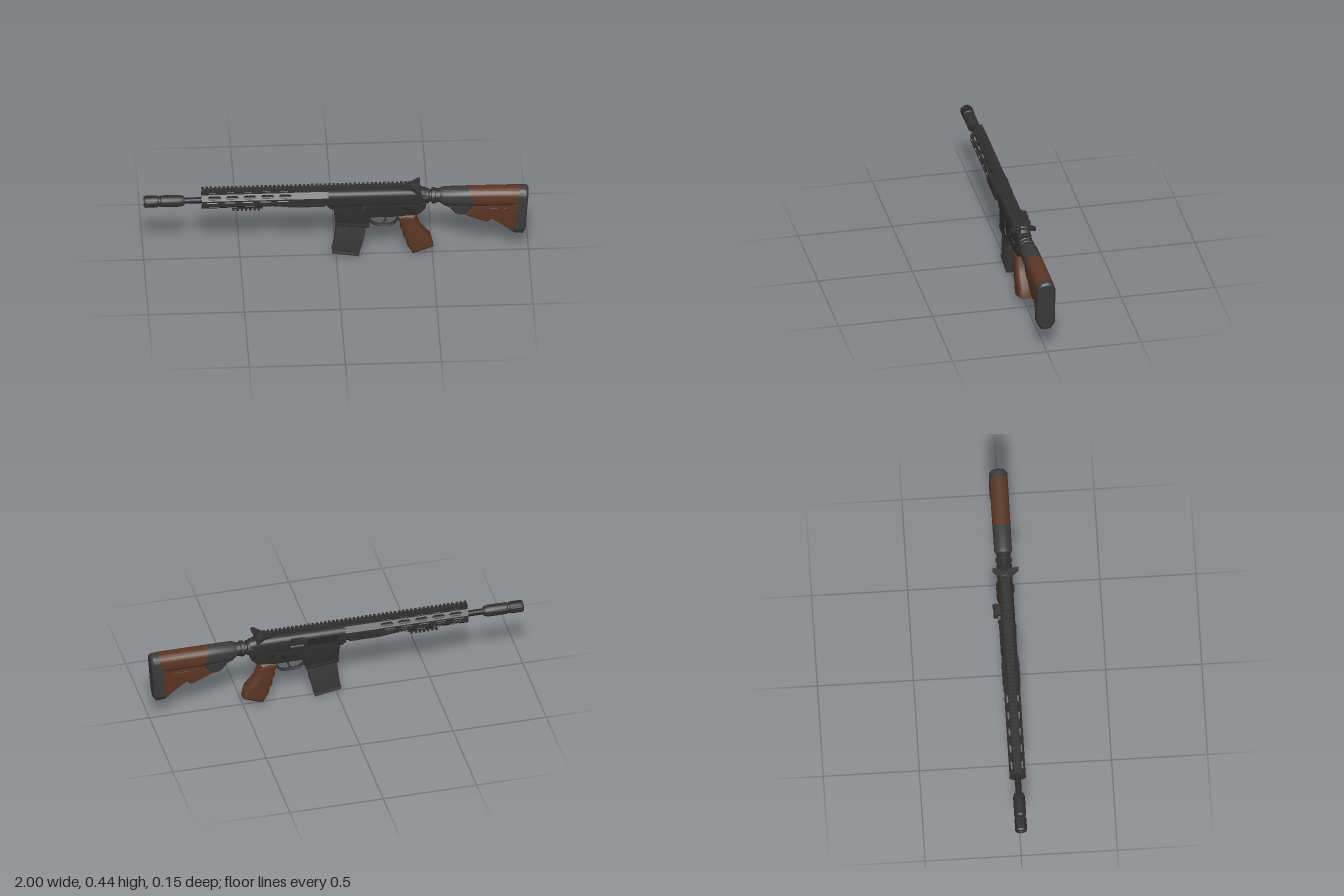
import * as THREE from 'three';
import { toCreasedNormals } from 'three/addons/utils/BufferGeometryUtils.js';

const paint = (name, color) => Object.assign(new THREE.MeshStandardMaterial({ color }), { name });

export function createModel() {
  const metal = paint('gunmetal', 0x303030);
  const black = paint('black steel', 0x262626);
  const polymer = paint('grey polymer', 0x3a3a3a);
  const brown = paint('brown furniture', 0x5a3624);
  const model = new THREE.Group();
  const AXIS = 0.367; // bore height

  const add = (name, geo, mat, x = 0, y = 0, z = 0, parent = model) => {
    const m = new THREE.Mesh(geo, mat);
    m.name = name;
    m.position.set(x, y, z);
    parent.add(m);
    return m;
  };
  const box = (name, mat, x0, x1, y0, y1, z0, z1, parent = model) =>
    add(name, new THREE.BoxGeometry(x1 - x0, y1 - y0, z1 - z0), mat,
      (x0 + x1) / 2, (y0 + y1) / 2, (z0 + z1) / 2, parent);
  const poly = (pts) => pts.map(([x, y]) => new THREE.Vector2(x, y));

  // Side outline extruded across z, with rounded edges kept inside the outline
  const slab = (name, mat, pts, half, bevel, segs = 2, holes = []) => {
    const shape = new THREE.Shape(poly(pts));
    holes.forEach((h) => shape.holes.push(new THREE.Path(poly(h))));
    const geo = new THREE.ExtrudeGeometry(shape, {
      depth: 2 * (half - bevel), bevelThickness: bevel,
      bevelSize: bevel, bevelOffset: -bevel, bevelSegments: segs,
    });
    geo.translate(0, 0, bevel - half);
    return add(name, toCreasedNormals(geo, 0.65), mat);
  };

  // Rounded-rectangle sections [x, yBottom, yTop, halfWidth, radius, shear] joined along x
  const loft = (name, mat, sections, corner = 6) => {
    const pos = [], idx = [], n = 4 * (corner + 1);
    for (const [x, yb, yt, hw, r, shear = 0] of sections) {
      for (let q = 0; q < 4; q++) for (let i = 0; i <= corner; i++) {
        const a = (q + i / corner) * Math.PI / 2;
        const y = (q === 0 || q === 3 ? yt - r : yb + r) + r * Math.cos(a);
        const z = (q < 2 ? 1 : -1) * (hw - r) + r * Math.sin(a);
        pos.push(x + shear * (yt - y), y, z);
      }
    }
    const last = (sections.length - 1) * n;
    for (let s = 0; s < last; s += n) for (let j = 0; j < n; j++) {
      const k = (j + 1) % n;
      idx.push(s + j, s + k, s + n + k, s + j, s + n + k, s + n + j);
    }
    for (let j = 1; j < n - 1; j++) idx.push(0, j + 1, j, last, last + j, last + j + 1);
    const geo = new THREE.BufferGeometry();
    geo.setAttribute('position', new THREE.Float32BufferAttribute(pos, 3));
    geo.setIndex(idx);
    add(name, toCreasedNormals(geo, 0.6), mat);
  };

  // Turned part along x from [x, radius] points
  const turned = (name, mat, pts, y, z = 0, sides = 24) => {
    const geo = new THREE.LatheGeometry(poly(pts.map(([x, r]) => [r, x])), sides);
    geo.rotateZ(-Math.PI / 2);
    add(name, toCreasedNormals(geo, 0.5), mat, 0, y, z);
  };
  const pin = (name, mat, x, y, r, half) =>
    add(name, new THREE.CylinderGeometry(r, r, 2 * half, 14).rotateX(Math.PI / 2), mat, x, y);

  // Barrel and muzzle device
  turned('barrel', black, [[-0.82, 0], [-0.82, 0.016], [-0.04, 0.016], [-0.04, 0]], AXIS);
  turned('muzzleDevice', metal, [[-0.975, 0], [-0.975, 0.014], [-1, 0.018], [-1, 0.027], [-0.992, 0.031],
    [-0.93, 0.031], [-0.925, 0.027], [-0.915, 0.027], [-0.91, 0.031], [-0.81, 0.031], [-0.79, 0.024], [-0.79, 0]], AXIS);
  for (let k = 0; k < 6; k++) {
    const slot = add('muzzleSlot', new THREE.BoxGeometry(0.055, 0.004, 0.012).translate(0, 0.03, 0), black, -0.965, AXIS);
    slot.rotation.x = k * Math.PI / 3;
  }

  // Eight-sided handguard with vent slots
  const guard = new THREE.Group();
  guard.name = 'handguard';
  model.add(guard);
  const R = 0.042, W = R * Math.tan(Math.PI / 8);
  for (let k = 0; k < 8; k++) {
    const s = new THREE.Shape(poly([[-0.7, -W], [-0.2, -W], [-0.2, W], [-0.7, W]]));
    for (let i = 0; i < 5; i++) {
      const c = -0.645 + i * 0.092 + (k % 2) * 0.012;
      s.holes.push(new THREE.Path(poly([[c - 0.035, 0], [c - 0.025, 0.01], [c + 0.025, 0.01],
        [c + 0.035, 0], [c + 0.025, -0.01], [c - 0.025, -0.01]])));
    }
    const geo = new THREE.ExtrudeGeometry(s, { depth: 0.006, bevelEnabled: false });
    geo.translate(0, 0, R - 0.006).rotateX(k * Math.PI / 4);
    add('handguardPanel', geo, metal, 0, AXIS, 0, guard);
  }
  const sleeve = new THREE.CylinderGeometry(0.047, 0.047, 0.18, 8).rotateY(Math.PI / 8).rotateZ(Math.PI / 2);
  add('handguardSleeve', toCreasedNormals(sleeve, 0.5), metal, -0.13, AXIS, 0, guard);
  for (const side of [-1, 1]) {
    const flare = new THREE.ExtrudeGeometry(new THREE.Shape(poly([[-0.3, 0.345], [-0.22, 0.335], [-0.06, 0.335],
      [-0.06, 0.375], [-0.2, 0.385], [-0.24, 0.365]])), { depth: 0.008, bevelEnabled: false });
    add('handguardFlare', flare, metal, 0, 0, side * 0.042 - 0.004, guard);
  }

  // Toothed rails
  const rail = (name, x0, x1, y0, y1, y2, half) => {
    const g = new THREE.Group();
    g.name = name;
    model.add(g);
    box('railBase', metal, x0, x1, Math.min(y0, y1), Math.max(y0, y1), -half * 0.8, half * 0.8, g);
    for (let x = x0; x < x1 - 0.011; x += 0.022)
      box('railTooth', metal, x, x + 0.012, Math.min(y1, y2), Math.max(y1, y2), -half, half, g);
  };
  rail('topRail', -0.7, 0.4, 0.422, 0.429, 0.437, 0.021);
  rail('lowerRail', -0.54, -0.38, 0.326, 0.316, 0.306, 0.02);
  for (let i = 0; i < 6; i++) box('railPost', metal, -0.7 + i * 0.095, -0.675 + i * 0.095, 0.402, 0.424, -0.012, 0.012);
  box('railPost', metal, 0.36, 0.4, 0.4, 0.424, -0.014, 0.014);

  // Upper receiver
  loft('upperReceiver', metal, [[-0.045, 0.31, 0.41, 0.039, 0.03], [0.43, 0.31, 0.41, 0.039, 0.03],
    [0.468, 0.318, 0.4, 0.036, 0.03]]);
  box('ejectionPortCover', black, 0.0, 0.16, 0.342, 0.382, -0.043, -0.036);
  box('portRim', metal, -0.005, 0.165, 0.332, 0.342, -0.046, -0.034);
  slab('brassDeflector', metal, [[0.165, 0.335], [0.165, 0.39], [0.185, 0.395], [0.22, 0.37], [0.22, 0.335]], 0.008, 0.003)
    .position.z = -0.042;
  turned('forwardAssist', metal, [[0.19, 0], [0.19, 0.013], [0.24, 0.013], [0.242, 0.015], [0.262, 0.015], [0.265, 0]],
    0.36, -0.058, 16);
  box('assistMount', metal, 0.19, 0.25, 0.36, 0.397, -0.062, -0.03);

  // Charging handle with swept wings
  const handle = new THREE.Shape(poly([[0.35, 0.02], [0.39, 0.03], [0.425, 0.073], [0.44, 0.073], [0.435, 0.02],
    [0.435, -0.02], [0.44, -0.062], [0.425, -0.062], [0.39, -0.03], [0.35, -0.02]]));
  add('chargingHandle', new THREE.ExtrudeGeometry(handle, { depth: 0.018, bevelEnabled: false })
    .rotateX(Math.PI / 2), metal, 0, 0.428);
  slab('rearSightBase', metal, [[0.38, 0.405], [0.38, 0.43], [0.4, 0.437], [0.425, 0.435], [0.445, 0.405]], 0.018, 0.003);

  // Lower receiver with magazine well
  slab('lowerReceiver', metal, [[-0.04, 0.345], [-0.035, 0.312], [-0.015, 0.307], [-0.002, 0.212], [0.163, 0.19],
    [0.18, 0.25], [0.34, 0.25], [0.43, 0.262], [0.463, 0.295], [0.472, 0.345]], 0.036, 0.006);
  slab('magazineWellLip', metal, [[-0.008, 0.227], [-0.006, 0.207], [0.168, 0.186], [0.172, 0.205]], 0.039, 0.003);
  [[0.235, 0.29], [0.29, 0.29], [0.445, 0.315], [-0.015, 0.325]].forEach(([x, y]) =>
    pin('receiverPin', black, x, y, 0.008, 0.039));
  slab('boltCatch', metal, [[0.12, 0.25], [0.12, 0.3], [0.14, 0.33], [0.16, 0.33], [0.15, 0.29], [0.165, 0.25]], 0.005, 0.002)
    .position.z = 0.039;
  box('magazineRelease', metal, 0.15, 0.18, 0.265, 0.28, -0.043, -0.03);
  pin('selectorPivot', black, 0.35, 0.305, 0.012, 0.041);
  for (const z of [-0.043, 0.043]) box('selectorLever', black, 0.345, 0.385, 0.3, 0.31, z - 0.004, z + 0.004);

  // Magazine with side ribs
  slab('magazine', polymer, [[0.005, 0.23], [-0.008, 0.12], [-0.02, 0.03], [0.115, 0.002], [0.142, 0.1], [0.16, 0.22]], 0.025, 0.005);
  slab('magazineFloorplate', polymer, [[-0.023, 0.04], [-0.021, 0.026], [0.118, 0], [0.122, 0.014]], 0.028, 0.004);
  for (const x of [0.03, 0.075, 0.115])
    slab('magazineRib', polymer, [[x, 0.2], [x - 0.02, 0.045], [x - 0.012, 0.044], [x + 0.008, 0.2]], 0.0275, 0.001, 1);

  // Trigger and guard
  const curve = (pts) => new THREE.CatmullRomCurve3(pts.map(([x, y]) => new THREE.Vector3(x, y, 0)));
  const bow = new THREE.TubeGeometry(curve([[0.165, 0.25], [0.172, 0.215], [0.2, 0.19], [0.25, 0.183],
    [0.295, 0.188], [0.325, 0.225]]), 24, 0.006, 8);
  add('triggerGuard', bow.scale(1, 1, 2), metal);
  const trigger = curve([[0.245, 0.26], [0.257, 0.235], [0.257, 0.215], [0.244, 0.196]]);
  add('trigger', new THREE.TubeGeometry(trigger, 12, 0.005, 8), polymer);

  // Pistol grip with finger swells
  slab('pistolGrip', brown, [[0.318, 0.252], [0.322, 0.225], [0.334, 0.2], [0.332, 0.175], [0.346, 0.15], [0.347, 0.12],
    [0.362, 0.095], [0.367, 0.065], [0.398, 0.01], [0.505, 0.05], [0.49, 0.11], [0.44, 0.17], [0.425, 0.21], [0.412, 0.255],
    [0.36, 0.268]], 0.042, 0.026, 5);

  // Stock tube and ring nuts
  turned('stockTube', metal, [[0.45, 0], [0.45, 0.04], [0.48, 0.04], [0.484, 0.033], [0.495, 0.033], [0.498, 0.042],
    [0.515, 0.042], [0.518, 0.037], [0.57, 0.037], [0.57, 0]], 0.357);

  // Stock: grey nose, brown body, brown strut, grey butt pad
  loft('stockNose', polymer, [[0.54, 0.32, 0.396, 0.038, 0.036], [0.56, 0.305, 0.402, 0.046, 0.042],
    [0.688, 0.293, 0.402, 0.047, 0.042, 0.4]], 8);
  loft('stockBody', brown, [[0.688, 0.293, 0.402, 0.047, 0.042, 0.4], [0.955, 0.293, 0.4, 0.048, 0.042]], 8);
  slab('stockNoseUnderside', polymer, [[0.555, 0.33], [0.56, 0.31], [0.59, 0.295], [0.615, 0.262], [0.635, 0.25],
    [0.67, 0.246], [0.705, 0.29], [0.715, 0.33]], 0.034, 0.012, 3);
  slab('stockStrut', brown, [[0.672, 0.246], [0.705, 0.29], [0.715, 0.31], [0.955, 0.31], [0.955, 0.14], [0.905, 0.14],
    [0.895, 0.155], [0.808, 0.22], [0.785, 0.2], [0.77, 0.206]], 0.034, 0.006, 3,
  [[[0.79, 0.278], [0.79, 0.292], [0.89, 0.292], [0.89, 0.278]]]);
  loft('stockButt', brown, [[0.915, 0.14, 0.398, 0.04, 0.038], [0.955, 0.135, 0.4, 0.047, 0.044]], 8);
  loft('buttPad', polymer, [[0.952, 0.12, 0.4, 0.048, 0.046, -0.12], [0.99, 0.122, 0.4, 0.048, 0.046, -0.07],
    [1.0, 0.132, 0.39, 0.04, 0.038, -0.07]], 8);
  slab('buttPadToe', polymer, [[0.908, 0.15], [0.91, 0.135], [0.93, 0.125], [0.972, 0.12], [0.975, 0.155]], 0.03, 0.008, 3);
  return model;
}
